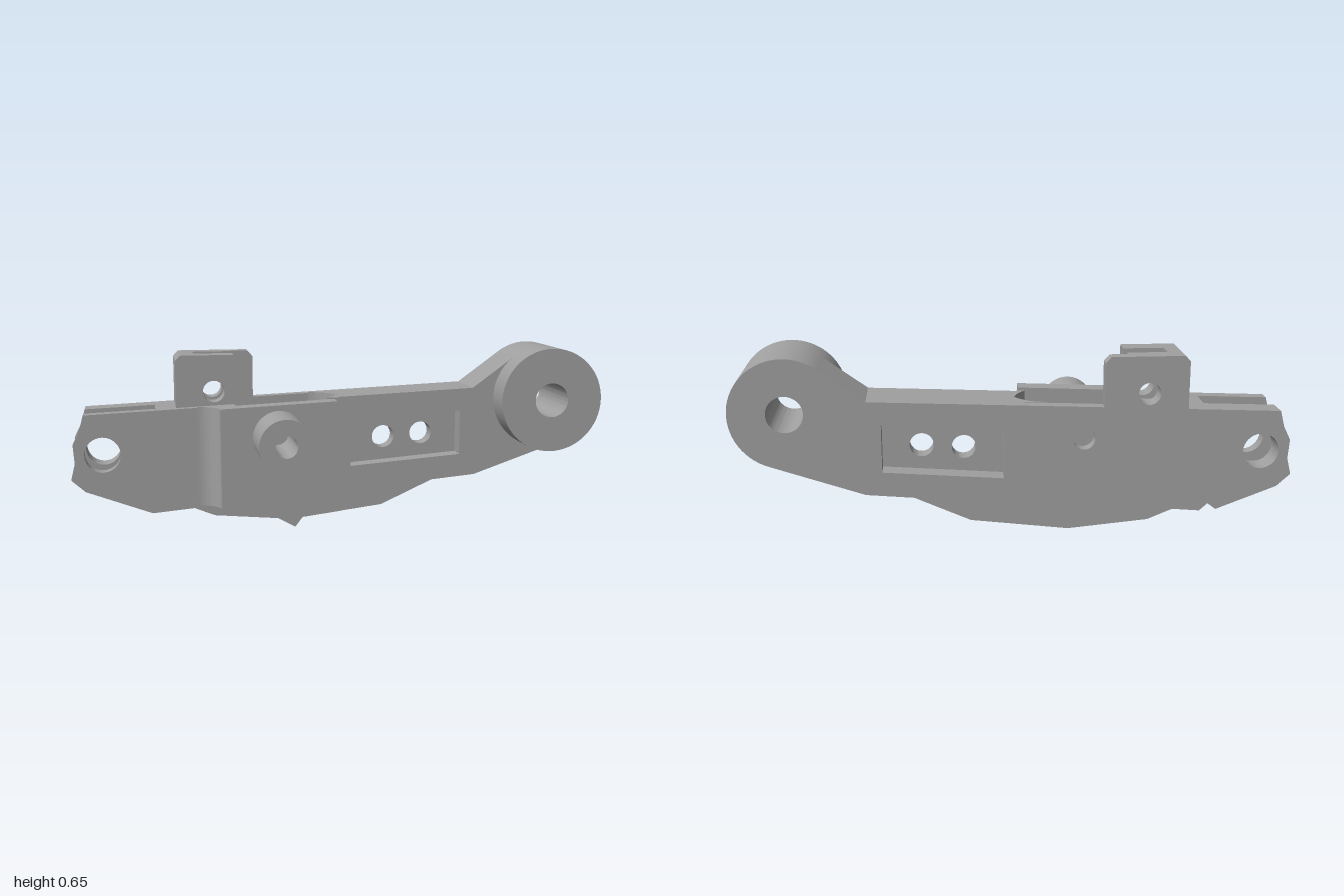
import * as THREE from 'three';
import { toCreasedNormals } from 'three/addons/utils/BufferGeometryUtils.js';

const metal = new THREE.MeshStandardMaterial({ color: 0xa0a0a0 });
metal.name = 'plain grey metal';

// Side profiles of the arm, as [x, y] running left to right
const TOP = [[-0.95, 0.428], [0.52, 0.49], [0.68, 0.606], [0.9, 0.615]];
const BOTTOM = [[-0.95, 0.145], [-0.73, 0.062], [-0.7, 0.085], [-0.67, 0.058], [-0.57, 0.067], [-0.48, 0.03],
  [-0.19, 0.003], [0.16, 0.045], [0.36, 0.135], [0.53, 0.15], [0.862, 0.263], [0.9, 0.28]];
const FRONT_BOTTOM = [[-0.95, 0.145], [-0.71, 0.055], [-0.57, 0.067], [-0.34, 0.085]];
const FORK_END = [[-0.965, 0.37], [-0.99, 0.32], [-0.985, 0.25], [-1, 0.19]];

function heightAt(profile, x) {
  for (let i = 1; i < profile.length; i++) {
    const [ax, ay] = profile[i - 1], [bx, by] = profile[i];
    if (x <= bx) return ay + (by - ay) * (x - ax) / (bx - ax);
  }
  return profile[profile.length - 1][1];
}

// Part of a profile between two x positions
function cut(profile, x0, x1) {
  return [[x0, heightAt(profile, x0)], ...profile.filter(p => p[0] > x0 && p[0] < x1), [x1, heightAt(profile, x1)]];
}

const outline = (x0, x1, bottom = BOTTOM) => [...cut(bottom, x0, x1), ...cut(TOP, x0, x1).reverse()];
const toPoints = list => list.map(p => new THREE.Vector2(p[0], p[1]));
const circle = (x, y, r) => new THREE.Path().absarc(x, y, r, 0, Math.PI * 2, true);

export function createModel() {
  const model = new THREE.Group();
  model.name = 'lever arm';

  function add(name, geometry) {
    const mesh = new THREE.Mesh(toCreasedNormals(geometry, 0.5), metal);
    mesh.name = name;
    model.add(mesh);
  }
  // Extrude an x-y shape from z0 to z1
  function slab(name, shape, z0, z1, holes) {
    shape.holes = holes;
    const g = new THREE.ExtrudeGeometry(shape, { depth: z1 - z0, bevelEnabled: false, curveSegments: 32 });
    add(name, g.translate(0, 0, z0));
  }
  function plate(name, points, z0, z1, holes = []) {
    slab(name, new THREE.Shape(toPoints(points)), z0, z1, holes);
  }
  function disc(name, x, y, r, hole, z0, z1) {
    const shape = new THREE.Shape();
    shape.absarc(x, y, r, 0, Math.PI * 2, false);
    slab(name, shape, z0, z1, [circle(x, y, hole)]);
  }
  // Extrude a ground-plan shape from y0 to y1
  function column(name, shape, y0, y1) {
    const g = new THREE.ExtrudeGeometry(shape, { depth: y1 - y0, bevelEnabled: false, curveSegments: 24 });
    add(name, g.rotateX(-Math.PI / 2).translate(0, y0, 0));
  }

  // Forked left end
  const pinHole = () => [circle(-0.885, 0.28, 0.065)];
  const prong = bottom => [...outline(-0.95, -0.69, bottom), ...FORK_END];
  plate('backProng', prong(BOTTOM), -0.26, -0.175, pinHole());
  plate('frontProng', prong(FRONT_BOTTOM), -0.072, -0.025, pinHole());

  // Solid body between fork and pocket
  plate('leftBody', outline(-0.69, -0.4), -0.26, -0.055);
  plate('leftBodyFace', outline(-0.69, -0.4, FRONT_BOTTOM), -0.055, -0.025);
  plate('pocketSide', outline(-0.455, -0.4, FRONT_BOTTOM), -0.025, -0.012);

  // Open pocket: back wall, floor and rounded right end
  plate('pocketBackWall', outline(-0.4, 0), -0.26, -0.215, [circle(-0.245, 0.34, 0.04)]);
  plate('pocketFloor', [...cut(BOTTOM, -0.4, 0), [0, 0.105], [-0.4, 0.105]], -0.215, -0.055);
  const end = new THREE.Shape();
  end.moveTo(0, 0.055);
  end.lineTo(0, 0.215);
  end.lineTo(-0.1, 0.215);
  end.quadraticCurveTo(-0.04, 0.205, -0.005, 0.14);
  end.quadraticCurveTo(-0.015, 0.09, -0.05, 0.055);
  column('pocketRoundEnd', end, 0.06, 0.467);

  // Right arm with a recessed window on both faces
  const frame = () => new THREE.Path(toPoints([[0.04, 0.2], [0.04, 0.385], [0.47, 0.403], [0.47, 0.232]]));
  const eye = () => circle(0.8, 0.45, 0.065);
  const arm = outline(0, 0.9);
  plate('armBack', arm, -0.26, -0.19, [frame(), eye()]);
  plate('armWeb', arm, -0.19, -0.125, [circle(0.18, 0.3, 0.043), circle(0.33, 0.31, 0.043), eye()]);
  plate('armFront', arm, -0.125, -0.058, [frame(), eye()]);
  disc('pivotBoss', 0.8, 0.45, 0.197, 0.065, -0.26, 0.055);

  // Front plate with pointed lower edge, and the foot behind it
  plate('frontPlate', [[-0.455, 0.078], [-0.34, 0.085], [-0.19, 0], [-0.11, 0.105], [-0.03, 0.105],
    [-0.03, 0.468], [-0.455, 0.449]], -0.012, 0.055, [circle(-0.245, 0.34, 0.04)]);
  plate('pointedFoot', [[-0.4, 0.08], [-0.34, 0.085], [-0.19, 0], [-0.11, 0.105], [-0.4, 0.105]], -0.055, -0.012);
  disc('post', -0.245, 0.34, 0.098, 0.04, 0.055, 0.26);

  // Concave blend on the left edge of the plate
  const blend = new THREE.Shape();
  blend.moveTo(-0.54, 0.025);
  blend.lineTo(-0.455, 0.025);
  blend.lineTo(-0.455, -0.055);
  blend.lineTo(-0.46, -0.055);
  blend.absarc(-0.54, -0.055, 0.08, 0, Math.PI / 2, false);
  column('plateBlend', blend, 0.077, 0.448);

  // Slotted tower on top
  const bore = () => [circle(-0.475, 0.5, 0.04)];
  const tower = [[-0.615, 0.42], [-0.4, 0.42], [-0.4, 0.635], [-0.597, 0.635], [-0.615, 0.615]];
  plate('towerBackWall', [[-0.615, 0.42], [-0.315, 0.42], [-0.315, 0.613], [-0.335, 0.635], [-0.597, 0.635],
    [-0.615, 0.615]], -0.26, -0.215, bore());
  plate('towerRearCheek', tower, -0.215, -0.193, bore());
  plate('towerSlotEnd', [[-0.615, 0.42], [-0.545, 0.42], [-0.545, 0.635], [-0.597, 0.635], [-0.615, 0.615]],
    -0.193, -0.125);
  plate('towerFrontCheek', tower, -0.125, -0.055, bore());

  return model;
}
